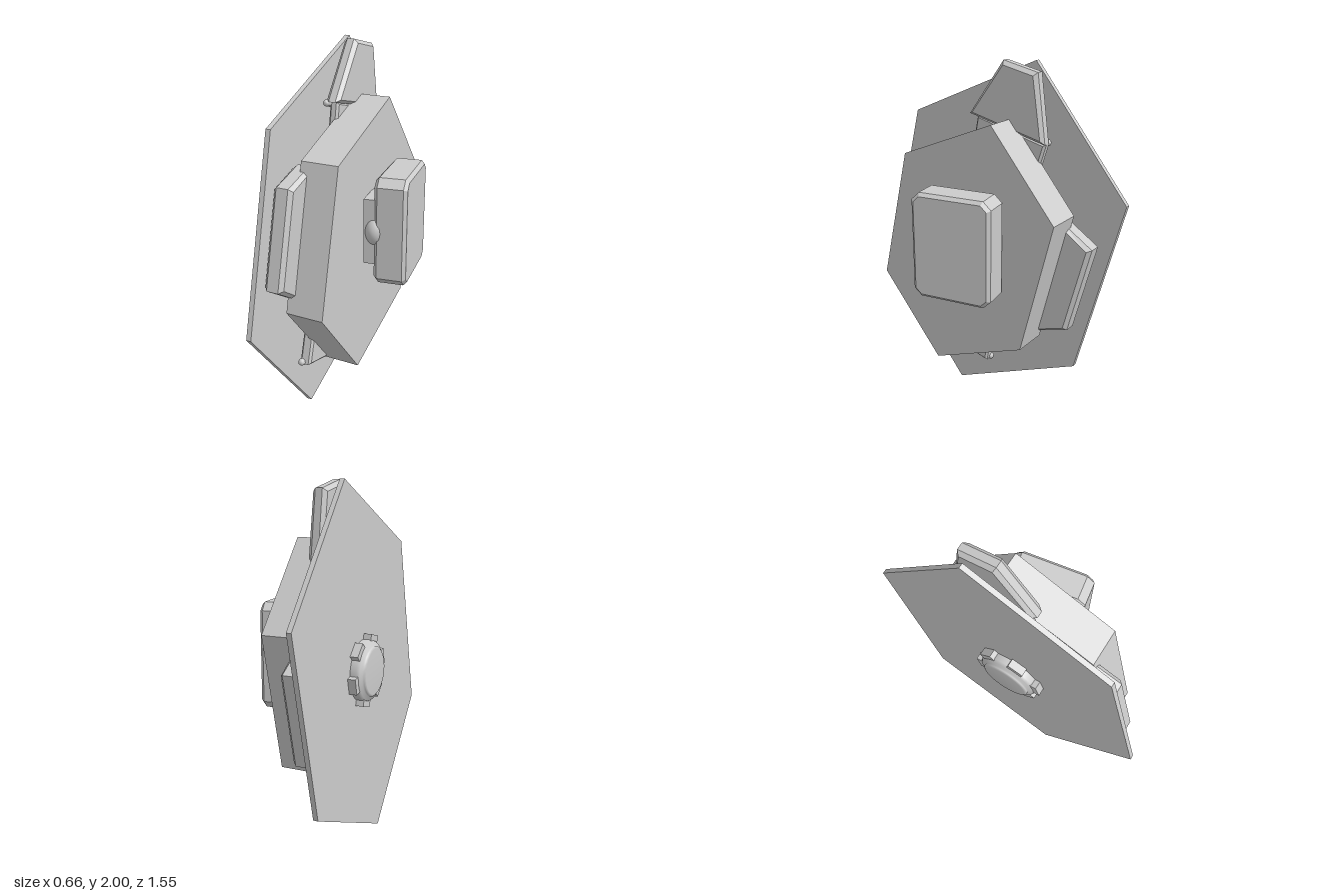
import * as THREE from 'three';

const grey = new THREE.MeshStandardMaterial({ color: 0xcccccc });
grey.name = 'lightGrey';

function add(parent, name, geometry) {
  const mesh = new THREE.Mesh(geometry, grey);
  mesh.name = name;
  parent.add(mesh);
  return mesh;
}

// Outline of [z, y] points, extruded along x from x0 to x1, with an optional chamfer
function slab(points, x0, x1, bevel = 0) {
  const shape = new THREE.Shape(points.map(([z, y]) => new THREE.Vector2(-z, y)));
  const geometry = new THREE.ExtrudeGeometry(shape, {
    depth: x1 - x0 - 2 * bevel, bevelEnabled: bevel > 0,
    bevelSize: bevel, bevelOffset: -bevel, bevelThickness: bevel, bevelSegments: 1,
  });
  geometry.translate(0, 0, x0 + bevel);
  return geometry.rotateY(Math.PI / 2);
}

// Half turn of an outline about its centre
const turned = (points, cz = 0, cy = 0) => points.map(([z, y]) => [2 * cz - z, 2 * cy - y]);
const hexagon = (half, cz) => {
  const all = [...half, ...turned(half)];
  return all.map(([z, y]) => [z + cz, y + 1]);
};

// Round bar between two [z, y] points at depth x
function rail(parent, name, a, b, x, radius) {
  const p = new THREE.Vector3(x, a[1], a[0]);
  const q = new THREE.Vector3(x, b[1], b[0]);
  add(parent, name, new THREE.TubeGeometry(new THREE.LineCurve3(p, q), 1, radius, 8));
  for (const [i, end] of [p, q].entries()) {
    const knob = add(parent, name + 'End' + i, new THREE.SphereGeometry(radius, 8, 6));
    knob.position.copy(end);
  }
}

export function createModel() {
  const model = new THREE.Group();
  model.name = 'model';

  // Everything but the front box is turned ten degrees
  const body = new THREE.Group();
  body.name = 'tiltedAssembly';
  body.rotation.y = -THREE.MathUtils.degToRad(10);
  model.add(body);

  // Large thin back plate and thick hexagonal body
  add(body, 'backPlate', slab(hexagon([[0.538, 0.66], [-0.244, 0.998], [-0.787, 0.33]], 0), -0.195, -0.168));
  add(body, 'hexBody', slab(hexagon([[0.38, 0.485], [-0.183, 0.71], [-0.56, 0.255]], 0.022), -0.092, 0.112));
  add(body, 'core', new THREE.CylinderGeometry(0.2, 0.2, 0.1, 24).rotateZ(Math.PI / 2)).position.set(-0.13, 1, 0);

  // Opposite side pods
  const pod = [[0.36, 1.45], [0.558, 1.39], [0.68, 0.9], [0.51, 0.79]];
  add(body, 'leftPod', slab(pod, -0.157, -0.052, 0.02));
  add(body, 'rightPod', slab(turned(pod, 0.01, 1), -0.157, -0.052, 0.02));

  // Hinged necks above and below, each with a rail
  const neck = [[0.41, 0.35], [-0.01, 0.245], [-0.05, 0.45], [0.35, 0.55]];
  add(body, 'lowerNeck', slab(neck, -0.135, -0.07, 0.012));
  add(body, 'upperNeck', slab(turned(neck, 0.022, 0.975), -0.125, -0.075, 0.012));
  rail(body, 'lowerRail', [0.41, 0.36], [-0.01, 0.255], -0.12, 0.02);
  rail(body, 'upperRail', [0.08, 1.7], [-0.35, 1.6], -0.13, 0.018);

  // Raised top flap
  add(body, 'topFlap', slab([[-0.112, 2], [0.096, 1.71], [-0.366, 1.6], [-0.315, 1.955]], -0.13, -0.052, 0.02));

  // Rear hub: stepped disc with a ring of lugs
  const hub = new THREE.Group();
  hub.name = 'rearHub';
  hub.position.set(0, 1, 0);
  body.add(hub);
  const profile = [[0, 0.268], [0.125, 0.268], [0.137, 0.26], [0.137, 0.25], [0.16, 0.245], [0.17, 0.23], [0.17, 0.19]];
  const lathe = new THREE.LatheGeometry(profile.map(([r, h]) => new THREE.Vector2(r, h)).reverse(), 32);
  add(hub, 'hubDisc', lathe.rotateZ(Math.PI / 2));
  for (let i = 0; i < 6; i++) {
    const arm = new THREE.Group();
    arm.name = 'hubLug' + i;
    arm.rotation.x = (i + 0.25) * Math.PI / 3;
    hub.add(arm);
    add(arm, 'lug', new THREE.BoxGeometry(0.045, 0.05, 0.09)).position.set(-0.217, 0.17, 0);
  }

  // Front box with chamfered corners, on a bracket and round boss
  const box = [[0.18, 0.795], [-0.18, 0.795], [-0.223, 0.835], [-0.223, 1.33], [-0.18, 1.372], [0.18, 1.372], [0.223, 1.33], [0.223, 0.835]];
  add(model, 'frontBox', slab(box, 0.157, 0.328, 0.018));
  add(model, 'bracket', new THREE.BoxGeometry(0.06, 0.35, 0.32)).position.set(0.132, 1.085, 0.05);
  const boss = add(model, 'boss', new THREE.SphereGeometry(0.09, 24, 16));
  boss.scale.x = 0.7;
  boss.position.set(0.157, 1.085, 0.15);

  return model;
}
